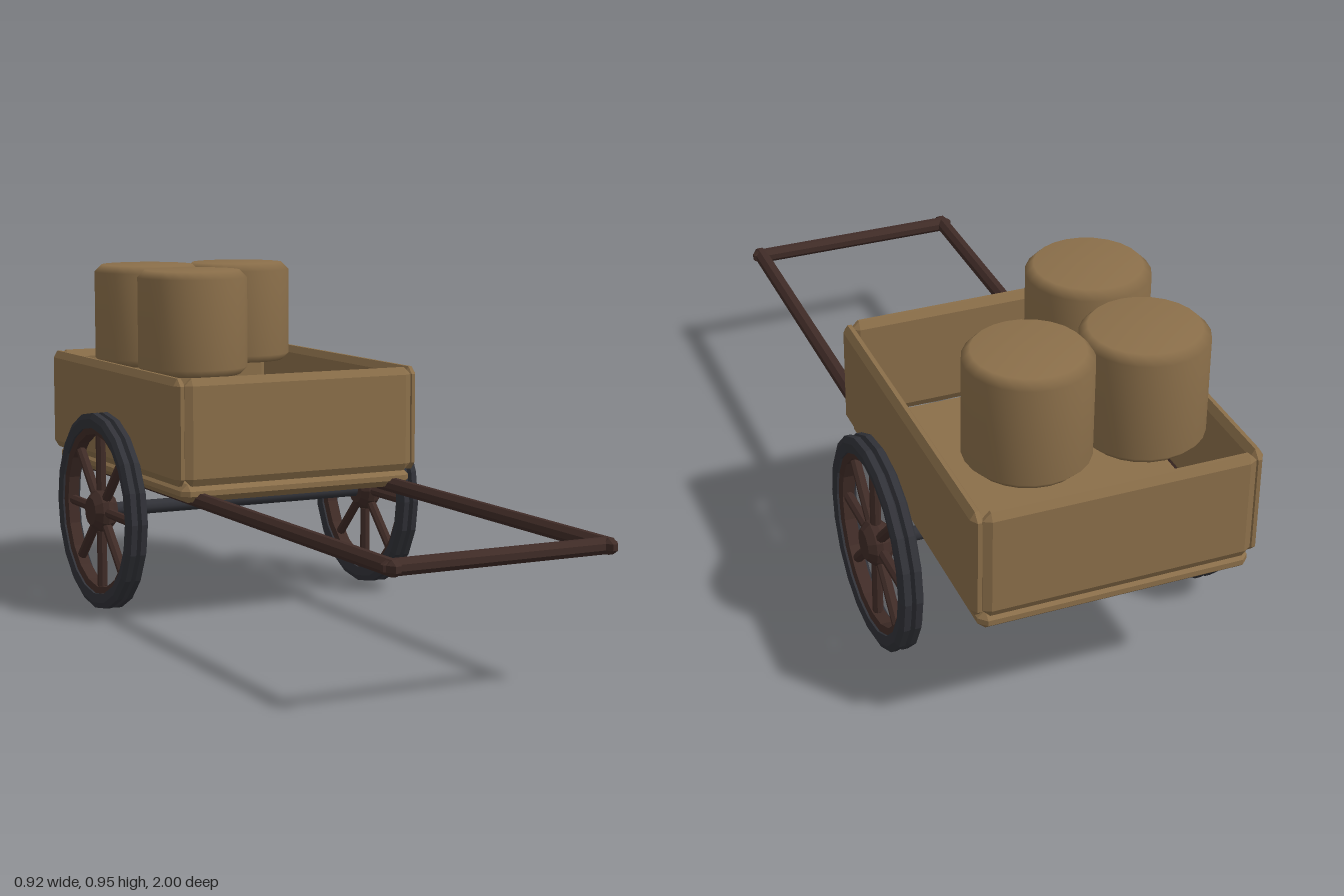
import * as THREE from 'three';
import { ConvexGeometry } from 'three/addons/geometries/ConvexGeometry.js';

const mat = (name, color) => {
  const m = new THREE.MeshStandardMaterial({ color });
  m.name = name;
  return m;
};

// Box with all edges cut; (bx, by, bz) is how far the cut reaches on each axis
function chamferBox(w, h, d, bx, by, bz) {
  const pts = [];
  for (const i of [-1, 1]) for (const j of [-1, 1]) for (const k of [-1, 1]) {
    const x = w / 2, y = h / 2, z = d / 2;
    pts.push(
      new THREE.Vector3(i * x, j * (y - by), k * (z - bz)),
      new THREE.Vector3(i * (x - bx), j * y, k * (z - bz)),
      new THREE.Vector3(i * (x - bx), j * (y - by), k * z));
  }
  return new ConvexGeometry(pts);
}

// Faceted ring or hub turned around the x axis; profile pairs are [radius, x]
function turned(profile, sides) {
  const g = new THREE.LatheGeometry(profile.map(p => new THREE.Vector2(p[0], p[1])), sides);
  g.rotateZ(-Math.PI / 2);
  const flat = g.toNonIndexed();
  flat.computeVertexNormals();
  return flat;
}

export function createModel() {
  const wood = mat('tan wood', 0x8b6f4a);
  const brown = mat('dark brown wood', 0x402c27);
  const iron = mat('dark iron', 0x313238);

  const cart = new THREE.Group();
  cart.name = 'handcart';
  const add = (parent, name, geo, material, x = 0, y = 0, z = 0) => {
    const m = new THREE.Mesh(geo, material);
    m.name = name;
    m.position.set(x, y, z);
    parent.add(m);
    return m;
  };

  // Open box: floor, two sides, two ends
  const midZ = -0.525;
  add(cart, 'floor', chamferBox(0.7, 0.05, 0.93, 0.02, 0.018, 0.02), wood, 0, 0.38, midZ);
  for (const s of [-1, 1]) {
    add(cart, 'sideWall', chamferBox(0.034, 0.29, 0.935, 0.012, 0.02, 0.02), wood, s * 0.353, 0.546, midZ);
    add(cart, 'endWall', chamferBox(0.69, 0.29, 0.032, 0.02, 0.02, 0.011), wood, 0, 0.546, midZ + s * 0.459);
  }

  // Pulling shafts and handle bar
  for (const s of [-1, 1]) {
    add(cart, 'shaft', chamferBox(0.038, 0.04, 1.86, 0.012, 0.012, 0.02), brown, s * 0.295, 0.36, 0.07);
  }
  add(cart, 'handleBar', chamferBox(0.64, 0.04, 0.038, 0.02, 0.012, 0.012), brown, 0, 0.36, 0.965);

  // Axle
  const hubY = 0.284, hubZ = -0.465;
  const axle = new THREE.CylinderGeometry(0.02, 0.02, 0.82, 10);
  axle.rotateZ(Math.PI / 2);
  add(cart, 'axle', axle, iron, 0, hubY, hubZ);

  // Wheels: double iron tyre, wooden rim, hub and eight spokes
  const tyre = turned([
    [0.236, -0.012], [0.262, -0.016], [0.278, -0.008], [0.278, 0.008],
    [0.262, 0.016], [0.236, 0.012], [0.236, -0.012]], 20);
  const rim = turned([
    [0.218, -0.016], [0.24, -0.022], [0.24, 0.022], [0.218, 0.016], [0.218, -0.016]], 20);
  const hub = turned([
    [0, -0.036], [0.04, -0.034], [0.058, -0.016], [0.063, 0],
    [0.058, 0.016], [0.04, 0.034], [0, 0.036]], 12);
  const spoke = chamferBox(0.026, 0.18, 0.026, 0.008, 0.012, 0.008);
  spoke.translate(0, 0.137, 0);
  for (const s of [-1, 1]) {
    const wheel = new THREE.Group();
    wheel.name = s > 0 ? 'leftWheel' : 'rightWheel';
    wheel.position.set(s * 0.424, hubY, hubZ);
    add(wheel, 'tyreRing', tyre, iron, -0.0145);
    add(wheel, 'tyreRing', tyre, iron, 0.0145);
    add(wheel, 'rim', rim, brown);
    add(wheel, 'hub', hub, brown);
    for (let i = 0; i < 8; i++) {
      add(wheel, 'spoke', spoke, brown).rotation.x = i * Math.PI / 4;
    }
    cart.add(wheel);
  }

  // Rounded drums of cargo
  const drum = new THREE.LatheGeometry([
    [0, 0.662], [0.135, 0.662], [0.156, 0.683], [0.156, 0.935], [0.135, 0.956], [0, 0.956],
  ].map(p => new THREE.Vector2(p[0], p[1])), 24);
  for (const [x, z] of [[-0.15, -0.765], [0.145, -0.765], [-0.15, -0.44]]) {
    add(cart, 'drum', drum, wood, x, 0, z);
  }

  return cart;
}
